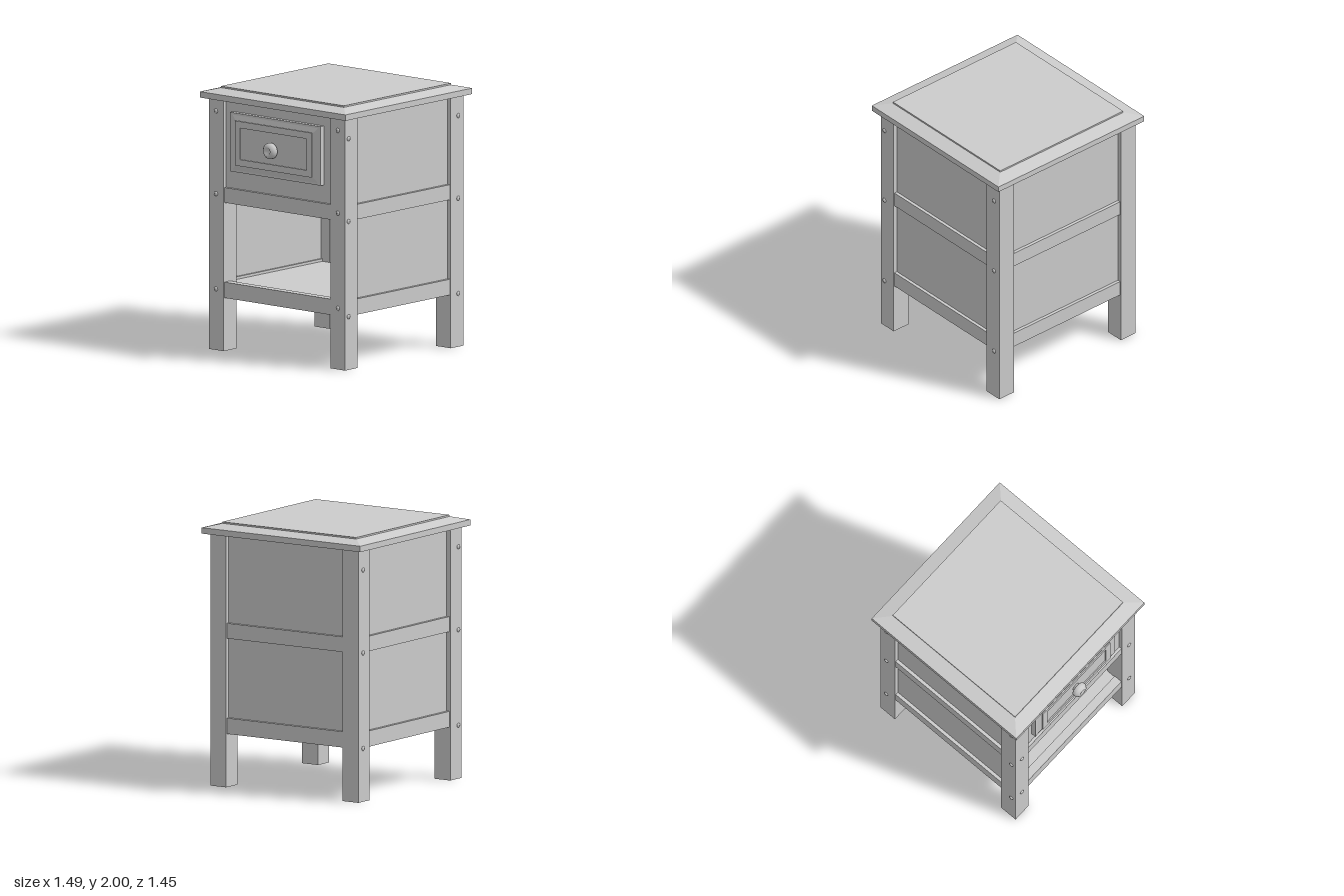
import * as THREE from 'three';

const material = new THREE.MeshStandardMaterial({ color: 0xcccccc, side: THREE.DoubleSide });

function mesh(name, geometry) {
  const m = new THREE.Mesh(geometry, material);
  m.name = name;
  return m;
}

// Box given by its limits on each axis
function box(name, [x0, x1], [y0, y1], [z0, z1]) {
  const g = new THREE.BoxGeometry(x1 - x0, y1 - y0, z1 - z0);
  g.translate((x0 + x1) / 2, (y0 + y1) / 2, (z0 + z1) / 2);
  return mesh(name, g);
}

// Box whose end at the given side of an axis is drawn in by an inset
function bevelBox(name, xs, ys, zs, axis, side, inset) {
  const m = box(name, xs, ys, zs);
  const p = m.geometry.attributes.position;
  const limits = [xs, ys, zs];
  const mid = limits.map(([a, b]) => (a + b) / 2);
  for (let i = 0; i < p.count; i++) {
    if ((p.getComponent(i, axis) - mid[axis]) * side < 0) continue;
    for (let k = 0; k < 3; k++) {
      if (k === axis) continue;
      const v = p.getComponent(i, k);
      p.setComponent(i, k, v - Math.sign(v - mid[k]) * inset);
    }
  }
  m.geometry = m.geometry.toNonIndexed();
  m.geometry.computeVertexNormals();
  return m;
}

export function createModel() {
  const root = new THREE.Group();
  root.name = 'nightstand';
  const body = new THREE.Group();
  body.name = 'body';
  body.position.x = 0.02;
  root.add(body);

  const H = 0.675, L = 0.145, I = H - L;      // half width, leg width, inner half width
  const TOP = 1.915;
  const railHeights = [[0.405, 0.525], [1.13, 1.245]];

  // Legs: square tubes, open at the ends
  for (const sx of [-1, 1]) for (const sz of [-1, 1]) {
    const g = new THREE.BoxGeometry(L, TOP, L);
    const idx = Array.from(g.index.array);
    g.setIndex([...idx.slice(0, 12), ...idx.slice(24)]);
    const leg = mesh('leg', g);
    leg.position.set(sx * (H - L / 2), TOP / 2, sz * (H - L / 2));
    body.add(leg);
  }

  // Rails on all four sides, panels on three
  for (const ys of railHeights) {
    for (const s of [-1, 1]) {
      const r = [H - 0.075, H - 0.008].map(v => v * s).sort((a, b) => a - b);
      body.add(box('rail', [-I, I], ys, r), box('rail', r, ys, [-I, I]));
    }
  }
  for (const ys of [[0.525, 1.13], [1.245, TOP]]) {
    for (const s of [-1, 1]) {
      const r = [H - 0.06, H - 0.033].map(v => v * s).sort((a, b) => a - b);
      body.add(box('panel', [-I, I], ys, r));
      if (s > 0) body.add(box('panel', r, ys, [-I, I]));
    }
  }

  // Lower shelf and floor of the drawer compartment
  body.add(box('shelf', [-0.6, 0.6], [0.475, 0.505], [-0.6, 0.6]));
  body.add(box('drawerFloor', [-0.6, 0.6], [1.17, 1.2], [-0.6, 0.6]));

  // Table top: slab, sloped border and raised centre
  const tx = [-0.705, 0.74], tz = [-0.723, 0.723];
  root.add(box('topSlab', tx, [TOP, 1.96], tz));
  root.add(bevelBox('topBevel', tx, [1.96, 1.988], tz, 1, 1, 0.11));
  root.add(box('topPanel', [-0.593, 0.63], [1.98, 2], [-0.61, 0.61]));

  // Drawer: recessed backing, face board, bevelled frame around a sunk panel
  const drawer = new THREE.Group();
  drawer.name = 'drawer';
  root.add(drawer);
  drawer.add(box('drawerBacking', [-0.625, -0.6], [1.245, TOP], [-I, I]));
  drawer.add(box('drawerBoard', [-0.662, -0.62], [1.38, 1.83], [-0.46, 0.44]));
  drawer.add(bevelBox('drawerBevel', [-0.673, -0.66], [1.39, 1.82], [-0.44, 0.42], 0, -1, 0.04));
  const frame = new THREE.Shape([[-0.38, -0.17], [0.38, -0.17], [0.38, 0.17], [-0.38, 0.17]]
    .map(([x, y]) => new THREE.Vector2(x, y)));
  frame.holes.push(new THREE.Path([[-0.33, -0.12], [-0.33, 0.12], [0.33, 0.12], [0.33, -0.12]]
    .map(([x, y]) => new THREE.Vector2(x, y))));
  const drawerFrame = mesh('drawerFrame', new THREE.ExtrudeGeometry(frame, { depth: 0.012, bevelEnabled: false }));
  drawerFrame.rotation.y = -Math.PI / 2;
  drawerFrame.position.set(-0.67, 1.605, -0.015);
  drawer.add(drawerFrame);

  // Round knob with a dished face
  const profile = [[0.032, 0], [0.032, 0.015], [0.052, 0.018], [0.06, 0.026], [0.06, 0.053],
    [0.042, 0.073], [0.026, 0.073], [0.02, 0.064], [0, 0.064]].map(([r, y]) => new THREE.Vector2(r, y));
  const knob = mesh('knob', new THREE.LatheGeometry(profile, 24));
  knob.rotation.z = Math.PI / 2;
  knob.position.set(-0.672, 1.595, -0.018);
  drawer.add(knob);

  // Domed pegs on the legs
  const pegProfile = [[0.018, -0.008], [0.018, 0.003], [0.012, 0.01], [0, 0.012]]
    .map(([r, y]) => new THREE.Vector2(r, y));
  const pegGeometry = new THREE.LatheGeometry(pegProfile, 10);
  for (const y of [0.405, 1.13, 1.76]) {
    for (const s of [-1, 1]) {
      for (const x of [-0.615, 0.635]) {
        const peg = mesh('peg', pegGeometry);
        peg.rotation.x = s * Math.PI / 2;
        peg.position.set(x, y, s * H);
        root.add(peg);
      }
      const sidePeg = mesh('peg', pegGeometry);
      sidePeg.rotation.z = Math.PI / 2;
      sidePeg.position.set(0.02 - H, y + 0.06, s * 0.605);
      root.add(sidePeg);
    }
  }
  return root;
}
